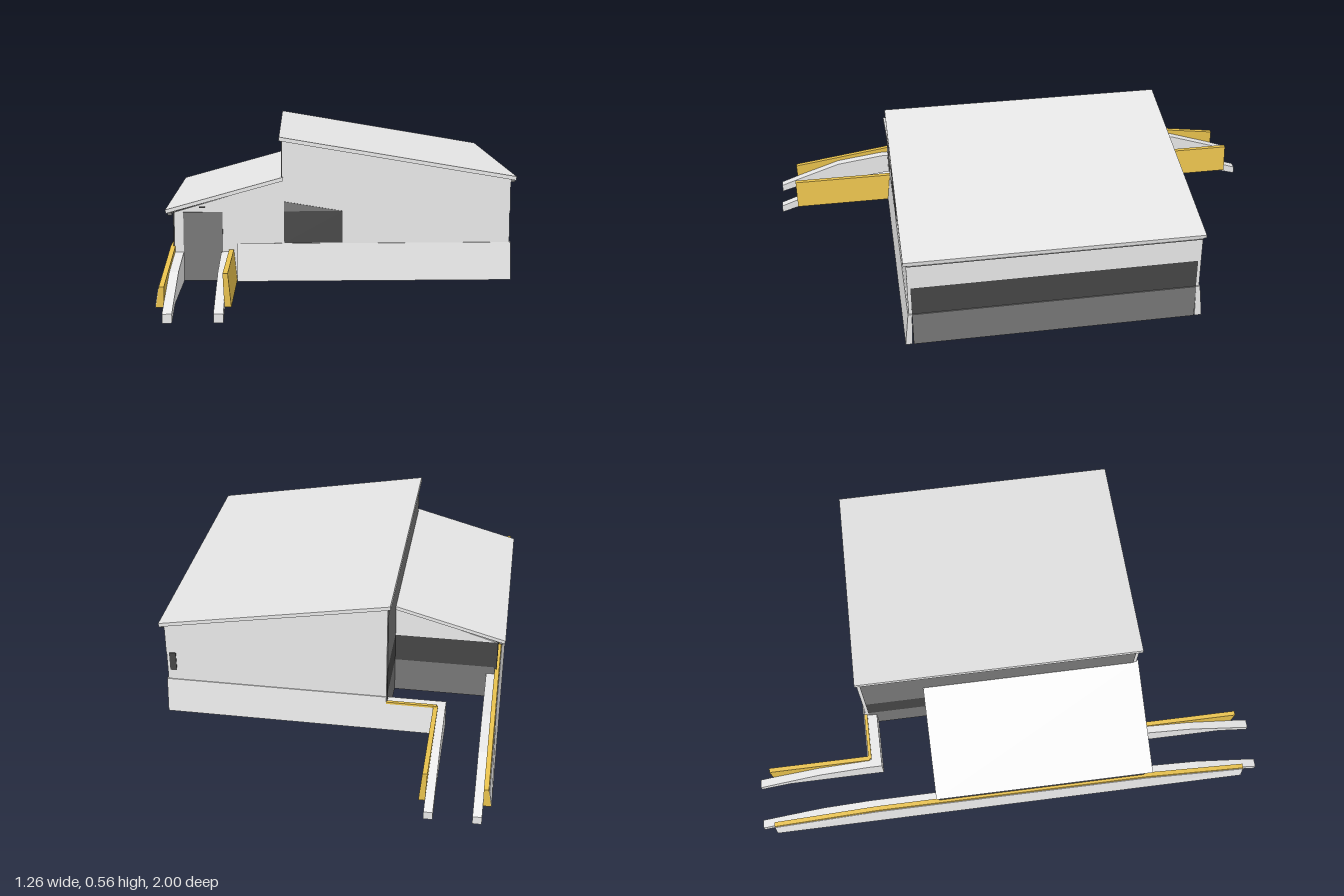
import * as THREE from 'three';

const mat = (name, color) => {
  const m = new THREE.MeshStandardMaterial({ color });
  m.name = name;
  return m;
};

export function createModel() {
  const light = mat('light wall', 0xe8e8e8);
  const skirt = mat('pale skirting', 0xf0f0f0);
  const roofing = mat('roof grey', 0xe6e6e6);
  const grey = mat('mid grey', 0x767676);
  const dark = mat('dark glass', 0x454545);
  const yellow = mat('yellow', 0xf0c850);
  const model = new THREE.Group();
  model.name = 'building';

  const add = (name, geo, m) => {
    const mesh = new THREE.Mesh(geo, m);
    mesh.name = name;
    model.add(mesh);
    return mesh;
  };
  // box given by its two corners
  const box = (name, m, x0, x1, y0, y1, z0, z1) => {
    const g = new THREE.BoxGeometry(x1 - x0, y1 - y0, z1 - z0);
    g.translate((x0 + x1) / 2, (y0 + y1) / 2, (z0 + z1) / 2);
    return add(name, g, m);
  };
  // polygon in x,y extruded from z0 to z1
  const prism = (name, m, pts, z0, z1) => {
    const shape = new THREE.Shape(pts.map(p => new THREE.Vector2(...p)));
    const g = new THREE.ExtrudeGeometry(shape, { depth: z1 - z0, bevelEnabled: false });
    g.translate(0, 0, z0);
    return add(name, g, m);
  };
  // polygon in z,y extruded from x0 to x1
  const sidePrism = (name, m, pts, x0, x1) => {
    const shape = new THREE.Shape(pts.map(([z, y]) => new THREE.Vector2(-z, y)));
    const g = new THREE.ExtrudeGeometry(shape, { depth: x1 - x0, bevelEnabled: false });
    g.rotateY(Math.PI / 2);
    g.translate(x0, 0, 0);
    return add(name, g, m);
  };
  // prism whose height shrinks towards its outer end
  const taperedPrism = (name, m, pts, z0, z1) => {
    const mesh = prism(name, m, pts, z0, z1);
    const p = mesh.geometry.attributes.position;
    for (let i = 0; i < p.count; i++) {
      if (Math.abs(p.getZ(i)) > 0.9) p.setY(i, 0.035 + (p.getY(i) - 0.035) * 0.55);
    }
    mesh.geometry.computeVertexNormals();
    return mesh;
  };

  // Main hall walls
  const gable = [[-0.215, 0.165], [0.605, 0.165], [0.605, 0.4], [-0.215, 0.54]];
  prism('mainFrontWall', light, gable, 0.52, 0.532);
  prism('mainBackWall', light, gable, -0.544, -0.532);
  box('eastUpperWall', light, 0.593, 0.607, 0.285, 0.4, -0.542, 0.53);
  box('eastWindowBand', dark, 0.593, 0.607, 0.168, 0.285, -0.532, 0.52);
  box('eastLowerWall', grey, 0.595, 0.611, 0.035, 0.17, -0.532, 0.52);
  box('westUpperWall', grey, -0.217, -0.205, 0.285, 0.538, -0.532, 0.52);
  box('westRearBand', dark, -0.217, -0.205, 0.17, 0.285, -0.532, -0.29);
  box('westRearLowerWall', grey, -0.217, -0.205, 0.035, 0.17, -0.532, -0.29);

  // Flared skirting on front and back
  sidePrism('frontSkirt', skirt, [[0.525, 0.035], [0.55, 0.035], [0.535, 0.17], [0.52, 0.17]], -0.375, 0.61);
  sidePrism('backSkirt', skirt, [[-0.562, 0.035], [-0.535, 0.035], [-0.532, 0.17], [-0.547, 0.17]], -0.215, 0.61);

  // Front and back windows
  prism('frontWindow', dark, [[-0.207, 0.172], [0.003, 0.172], [0.003, 0.287], [-0.207, 0.287]], 0.532, 0.535);
  prism('frontWindowTop', grey, [[-0.207, 0.287], [0.003, 0.287], [-0.207, 0.322]], 0.532, 0.535);
  box('backWindow', dark, 0.57, 0.595, 0.21, 0.285, -0.547, -0.544);

  // Lower wing
  const wing = [[-0.6, 0.035], [-0.205, 0.035], [-0.205, 0.4], [-0.6, 0.285]];
  prism('wingFrontWall', light, wing, 0.52, 0.53);
  prism('wingBackGable', light, [[-0.6, 0.28], [-0.21, 0.28], [-0.21, 0.4]], -0.29, -0.28);
  box('wingBackBand', dark, -0.6, -0.21, 0.17, 0.28, -0.29, -0.28);
  box('wingBackLowerWall', grey, -0.6, -0.21, 0.035, 0.17, -0.29, -0.28);
  box('wingWestBand', dark, -0.604, -0.595, 0.155, 0.285, -0.29, 0.525);
  box('frontDoor', grey, -0.567, -0.427, 0.036, 0.285, 0.53, 0.534);
  box('doorLamp', dark, -0.51, -0.49, 0.301, 0.306, 0.53, 0.535);

  // Roofs and gutters
  prism('mainRoof', roofing, [[-0.226, 0.541], [0.624, 0.396], [0.626, 0.41], [-0.224, 0.555]], -0.55, 0.543);
  prism('wingRoof', roofing, [[-0.628, 0.282], [-0.21, 0.397], [-0.21, 0.411], [-0.631, 0.295]], -0.298, 0.54);
  box('mainGutter', grey, 0.605, 0.621, 0.388, 0.397, -0.54, 0.53);
  box('wingGutter', grey, -0.624, -0.608, 0.274, 0.284, -0.29, 0.53);

  // Left guard rail, tapering down at both ends, with thin pale outer cladding
  const leftSection = [[-0.625, 0.035], [-0.598, 0.035], [-0.597, 0.162], [-0.614, 0.162]];
  const cladding = [[-0.627, 0.035], [-0.625, 0.035], [-0.615, 0.15], [-0.617, 0.15]];
  for (const [name, m, pts] of [['leftRail', yellow, leftSection], ['leftRailCladding', light, cladding]]) {
    prism(name, m, pts, -0.54, 0.53);
    taperedPrism(name + 'Front', m, pts, 0.53, 0.932);
    taperedPrism(name + 'Back', m, pts, -0.945, -0.54);
  }

  // Right guard rails and the return behind the hall
  const rightSection = [[-0.4, 0.035], [-0.377, 0.035], [-0.388, 0.148], [-0.405, 0.148]];
  prism('rightFrontRail', yellow, rightSection, 0.53, 0.932);
  prism('rightBackRail', yellow, rightSection, -0.945, -0.545);
  sidePrism('rearReturnWall', skirt, [[-0.562, 0.035], [-0.54, 0.035], [-0.538, 0.142], [-0.55, 0.142]], -0.39, -0.215);
  box('rearReturnCap', yellow, -0.4, -0.215, 0.142, 0.15, -0.55, -0.538);

  // Solid kerbs that ramp down to the ground at their ends
  const ramp = s => [[s, 0], [s, 0.03], [s * 0.93, 0.055], [s * 0.75, 0.115], [s * 0.56, 0.14],
    [s * 0.5, 0.14], [s * 0.5, 0.036], [s * 0.88, 0.036]];
  for (const x of [-0.598, -0.432]) {
    for (const s of [1, -1]) sidePrism('kerbRamp', light, ramp(s), x, x + 0.032);
  }
  box('leftKerb', light, -0.598, -0.566, 0.036, 0.14, -0.5, 0.5);
  box('rearReturnKerb', light, -0.41, -0.215, 0.036, 0.14, -0.54, -0.5);

  // Interior fittings
  box('partition', light, -0.2, -0.19, 0.12, 0.34, -0.28, 0.2);
  box('crossPartition', light, -0.19, 0.1, 0.12, 0.34, -0.29, -0.28);
  box('floorBeam', light, 0.2, 0.23, 0.04, 0.07, -0.53, 0.52);
  for (const z of [-0.2, 0.02, 0.24]) box('bench', light, -0.4, -0.2, 0.08, 0.2, z, z + 0.2);
  for (const z of [-0.3, 0.05]) box('cabinet', light, 0.3, 0.5, 0.1, 0.25, z, z + 0.22);

  return model;
}
